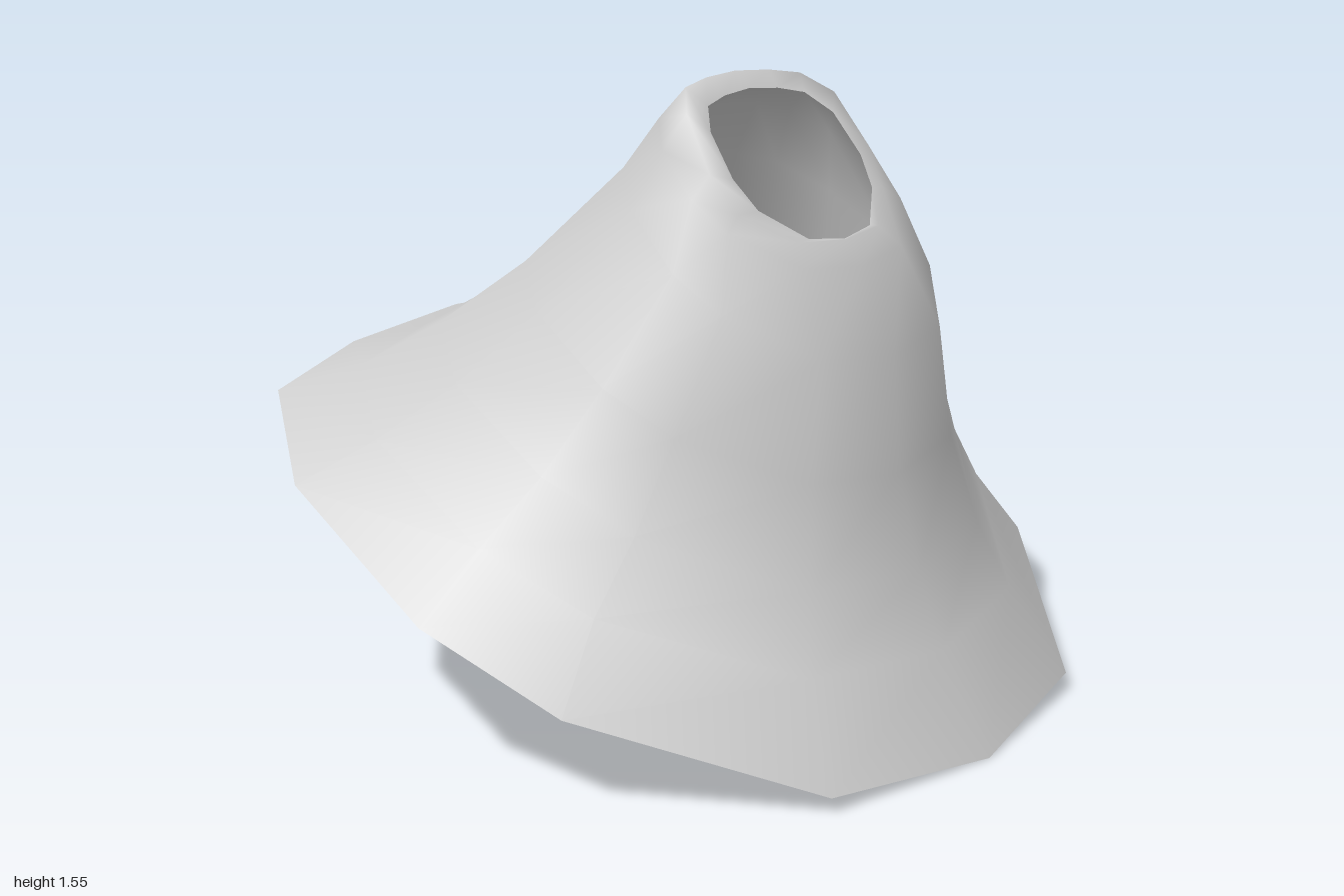
import * as THREE from 'three';

// Shared ring outline as [x, z], starting at the front and running towards +x
const outline = [
  [0.02, 0.88], [0.50, 0.78], [0.90, 0.36], [1.00, 0.02], [0.94, -0.45], [0.72, -0.74], [0.38, -0.84],
  [-0.03, -0.88], [-0.44, -0.82], [-0.77, -0.71], [-0.96, -0.41], [-1.00, 0.06], [-0.89, 0.39], [-0.47, 0.80],
];

// Each tilted ring: [front z, front y, back z, back y, front half width, back half width, centre x, arch, side tilt]
const opening = [0.45, 1.18, 0.165, 1.51, 0.24, 0.24, -0.01, 0.01];
const shellRings = [
  [0.88, 0.00, -0.88, 0.85, 1.00, 1.00],
  [0.74, 0.23, -0.68, 0.90, 0.83, 0.84],
  [0.67, 0.41, -0.48, 1.01, 0.69, 0.695],
  [0.61, 0.64, -0.26, 1.16, 0.57, 0.56],
  [0.59, 0.92, -0.05, 1.38, 0.48, 0.365],
  [0.50, 1.12, 0.05, 1.49, 0.39, 0.31, -0.01],
  [0.46, 1.18, 0.13, 1.55, 0.31, 0.28, -0.02, 0.025],
  opening,
];

// Lining hanging from the opening, just inside the shell
const liningRings = [
  [0.57, 0.62, -0.14, 1.12, 0.52, 0.465, -0.01, 0, 0.13],
  [0.56, 0.91, -0.02, 1.34, 0.455, 0.345, 0, 0, 0.04],
  [0.48, 1.11, 0.08, 1.47, 0.36, 0.285, -0.01],
  opening,
];

// Skins a stack of rings with smooth normals
function loft(name, rings, material, inward = false) {
  const n = outline.length;
  const positions = [];
  const index = [];
  for (const [zf, yf, zb, yb, wf, wb, cx = 0, arch = 0, tilt = 0] of rings) {
    for (const [x, z] of outline) {
      const t = (z / 0.88 + 1) / 2;
      const mix = (back, front) => back + (front - back) * t;
      const px = cx + x * mix(wb, wf);
      positions.push(px, mix(yb, yf) + arch * Math.sin(2 * Math.PI * t) - tilt * px, mix(zb, zf));
    }
  }
  for (let r = 0; r < rings.length - 1; r++) {
    for (let i = 0; i < n; i++) {
      const a = r * n + i;
      const b = r * n + (i + 1) % n;
      const c = a + n;
      const d = b + n;
      if (inward) index.push(a, d, b, a, c, d);
      else index.push(a, b, d, a, d, c);
    }
  }
  const geometry = new THREE.BufferGeometry();
  geometry.setAttribute('position', new THREE.Float32BufferAttribute(positions, 3));
  geometry.setIndex(index);
  geometry.computeVertexNormals();
  const mesh = new THREE.Mesh(geometry, material);
  mesh.name = name;
  return mesh;
}

export function createModel() {
  const group = new THREE.Group();
  group.name = 'flaredCollar';
  const material = new THREE.MeshStandardMaterial({ color: 0xcccccc, side: THREE.DoubleSide });
  group.add(loft('outerShell', shellRings, material));
  group.add(loft('neckLining', liningRings, material, true));
  return group;
}
